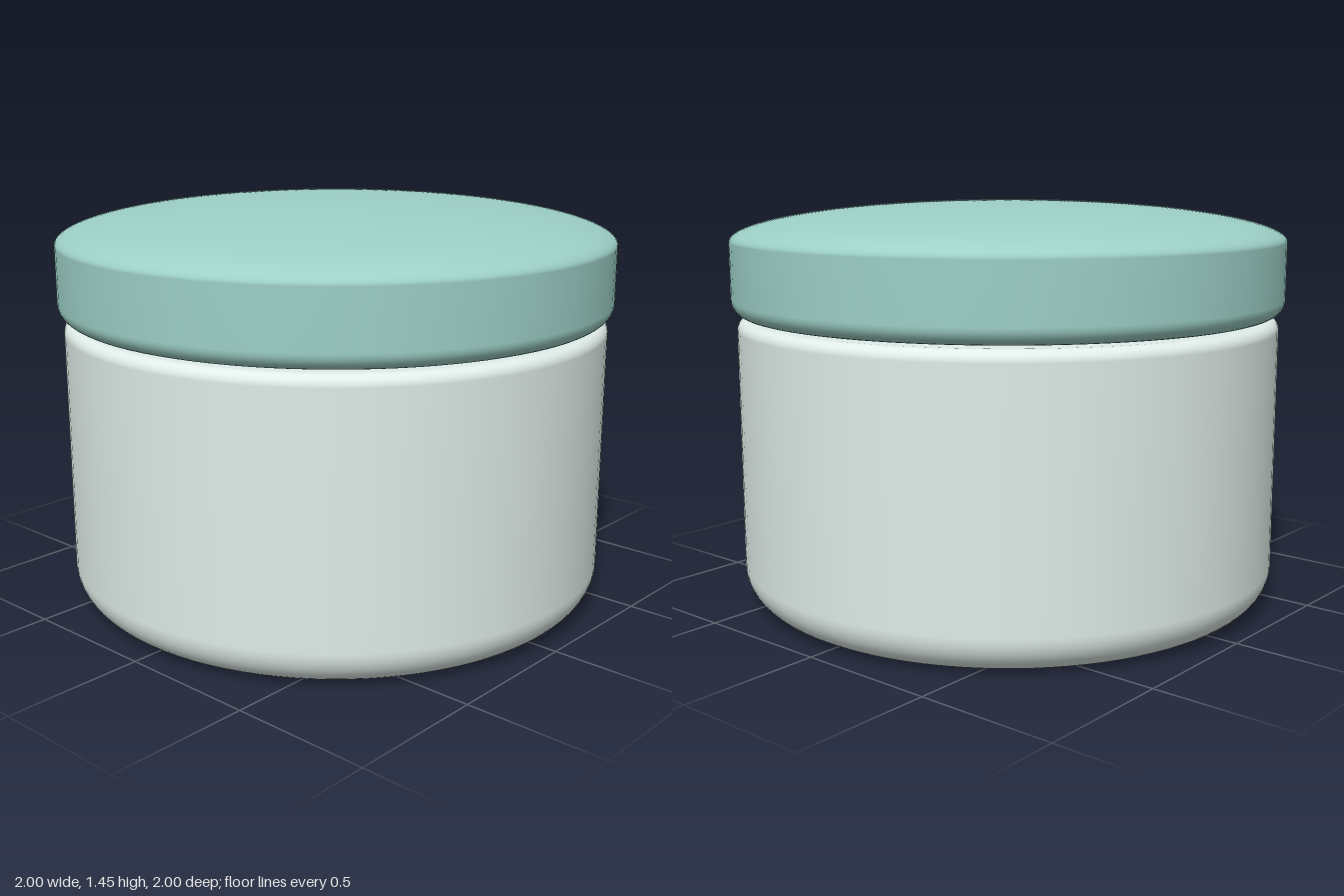
import * as THREE from 'three';

const SEGMENTS = 96;

// Quarter-ellipse points around (cx, cy), angles in degrees
function arc(cx, cy, rx, ry, from, to, steps) {
  return Array.from({ length: steps + 1 }, (_, i) => {
    const a = THREE.MathUtils.degToRad(from + ((to - from) * i) / steps);
    return new THREE.Vector2(Math.max(0, cx + rx * Math.cos(a)), cy + ry * Math.sin(a));
  });
}

function turned(name, profile, color) {
  const material = new THREE.MeshStandardMaterial({ color });
  const mesh = new THREE.Mesh(new THREE.LatheGeometry(profile, SEGMENTS), material);
  mesh.name = name;
  return mesh;
}

export function createModel() {
  const group = new THREE.Group();
  group.name = 'lidded jar';
  const point = (x, y) => new THREE.Vector2(x, y);
  const jarColor = 0xe0ede9;
  const lidColor = 0x9dd0c7;

  // Jar body: wide rounded foot, small rounded shoulder
  group.add(turned('jarBody', [
    point(0, 0),
    ...arc(0.84, 0.14, 0.14, 0.14, -90, 0, 12),
    ...arc(0.94, 1.0, 0.04, 0.04, 0, 90, 8),
    point(0, 1.04),
  ], jarColor));

  // Neck bridging the narrow gap under the lid
  const neck = new THREE.Mesh(
    new THREE.CylinderGeometry(0.86, 0.86, 0.06, SEGMENTS, 1, true),
    new THREE.MeshStandardMaterial({ color: jarColor }),
  );
  neck.name = 'jarNeck';
  neck.position.y = 1.05;
  group.add(neck);

  // Lid: rounded lower rim, straight wall and shallow dome
  group.add(turned('lid', [
    point(0, 1.05),
    ...arc(0.94, 1.11, 0.06, 0.06, -90, 0, 8),
    ...arc(0, 1.31, 1, 0.14, 0, 90, 32),
  ], lidColor));

  return group;
}
